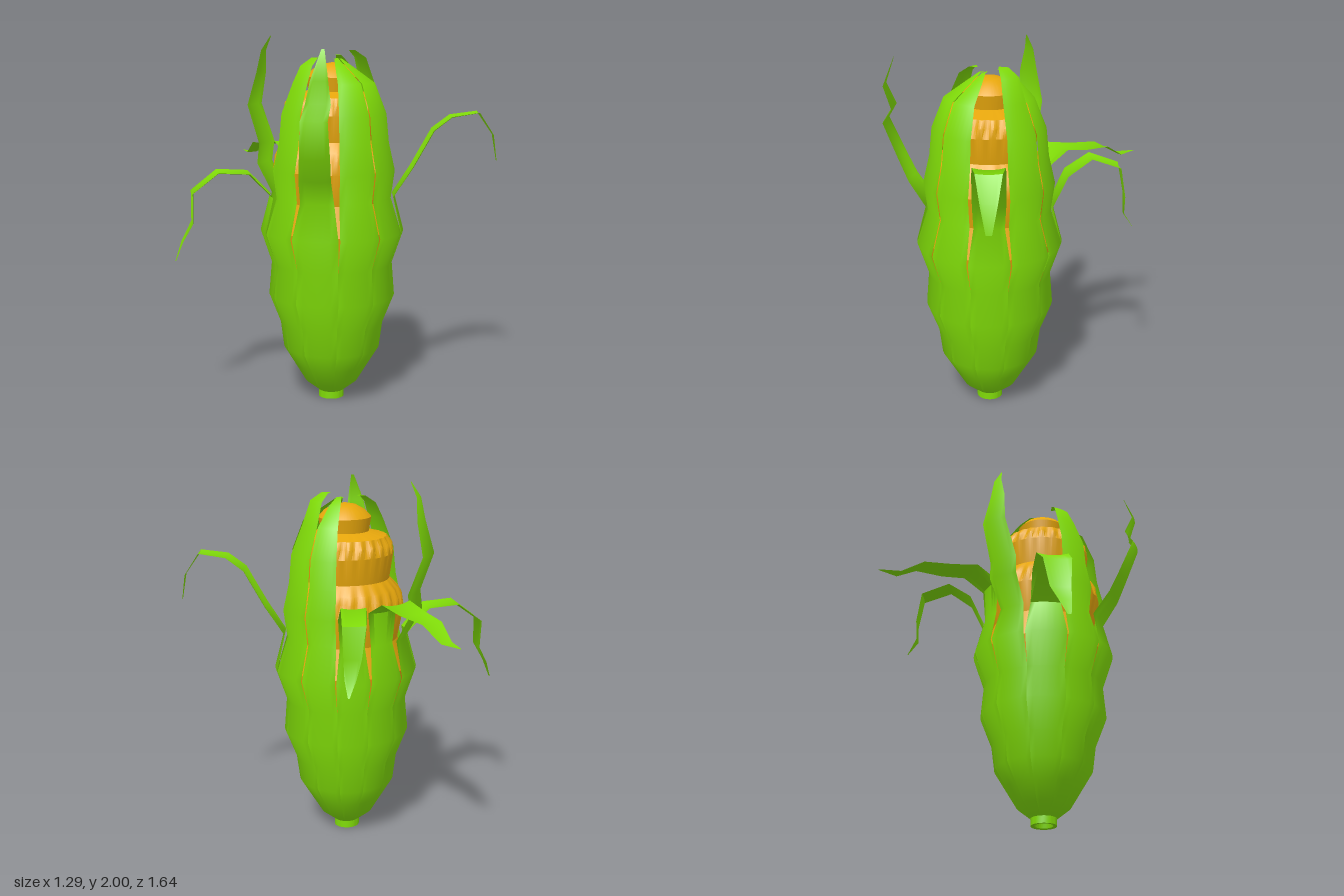
import * as THREE from 'three';
import { toCreasedNormals } from 'three/addons/utils/BufferGeometryUtils.js';

const CX = 0.06, CZ = 0.13; // axis of the cob
const rad = THREE.MathUtils.degToRad;

// Builds a surface from rows of points
function gridGeometry(rows, crease) {
  const pos = [], index = [], n = rows[0].length;
  rows.forEach(row => row.forEach(p => pos.push(p.x, p.y, p.z)));
  for (let i = 0; i < rows.length - 1; i++) {
    for (let j = 0; j < n - 1; j++) {
      const a = i * n + j, b = a + 1, c = a + n, d = c + 1;
      index.push(a, b, d, a, d, c);
    }
  }
  const g = new THREE.BufferGeometry();
  g.setAttribute('position', new THREE.Float32BufferAttribute(pos, 3));
  g.setIndex(index);
  return toCreasedNormals(g, crease);
}

// Ring rows of [radius, height, kernel ripple] around the axis
function ringRows(profile, segs, kernels = 0) {
  return profile.map(([r, y, ripple = 0]) => Array.from({ length: segs + 1 }, (_, j) => {
    const a = (j % segs) / segs * Math.PI * 2;
    const k = r + ripple * Math.cos(a * kernels);
    return new THREE.Vector3(Math.sin(a) * k, y, Math.cos(a) * k);
  }));
}

// Shared husk body below the splits: [radius, height]
const BODY = [[0.07, 0.04], [0.145, 0.1], [0.205, 0.2], [0.265, 0.3], [0.283, 0.44], [0.345, 0.6], [0.33, 0.78]];

// Rows that follow the axis: [radius, height, share of the strip's angle]
function arcRows(from, to, profile) {
  const mid = rad((from + to) / 2), half = rad((to - from) / 2);
  return profile.map(([r, y, share = 1]) => Array.from({ length: 7 }, (_, j) => {
    const a = mid + (j / 3 - 1) * half * share;
    return new THREE.Vector3(Math.sin(a) * r, y, Math.cos(a) * r);
  }));
}

// Strip that peels off: path of [radius, height, halfWidth], swinging sideways by lean degrees
function leafGeometry(from, to, lean, path) {
  const hug = [[0.39, 0.96, 0.96], [0.34, 1.15, 0.8]];
  const rows = arcRows(from, to, [...BODY, ...hug]);
  const spine = [hug[1], ...path];
  path.forEach(([r, y, hw], i) => {
    const prev = spine[i], next = spine[Math.min(i + 2, path.length)];
    const t = new THREE.Vector2(next[0] - prev[0], next[1] - prev[1]).normalize();
    const a = rad((from + to) / 2 + lean * (i + 1) / path.length);
    rows.push(Array.from({ length: 7 }, (_, j) => {
      const side = hw * (j / 3 - 1), sag = side * side / 0.6;
      const out = r - sag * t.y;
      return new THREE.Vector3(
        Math.sin(a) * out + Math.cos(a) * side, y + sag * t.x,
        Math.cos(a) * out - Math.sin(a) * side);
    }));
  });
  return gridGeometry(rows, 1);
}

// Strip that closes over the cob, ending in a point
function goreGeometry(from, to, tipRadius, tipHeight) {
  return gridGeometry(arcRows(from, to, [...BODY,
    [0.39, 0.96, 0.97], [0.33, 1.15, 0.96], [0.35, 1.3, 0.96], [0.315, 1.45, 0.96], [0.3, 1.6, 0.96],
    [0.235, 1.76, 0.95], [tipRadius + 0.1, tipHeight - 0.04, 0.92],
    [tipRadius + 0.04, tipHeight, 0.75], [tipRadius, tipHeight, 0.1]]), 1);
}

export function createModel() {
  const green = new THREE.MeshStandardMaterial({ color: 0x7fda08, side: THREE.DoubleSide });
  green.name = 'husk green';
  const gold = new THREE.MeshStandardMaterial({ color: 0xe6a60c, side: THREE.DoubleSide });
  gold.name = 'kernel gold';

  const model = new THREE.Group();
  model.name = 'cornCob';
  const plant = new THREE.Group();
  plant.name = 'cornPlant';
  plant.position.set(CX, 0, CZ);
  model.add(plant);
  const add = (name, geometry, material) => {
    const mesh = new THREE.Mesh(geometry, material);
    mesh.name = name;
    plant.add(mesh);
  };

  // Cob with stepped tiers of kernels and a domed cap
  add('cob', gridGeometry(ringRows([
    [0.28, 0.7], [0.335, 0.97], [0.285, 1.13],
    [0.32, 1.3], [0.302, 1.37, 0.009], [0.285, 1.41, 0.004], [0.24, 1.46],
    [0.262, 1.6], [0.248, 1.65, 0.009], [0.225, 1.69, 0.003], [0.13, 1.715],
    [0.142, 1.79], [0.11, 1.825], [0.06, 1.853], [0.0005, 1.865],
  ], 144, 24), 0.5), gold);

  // Hollow stem
  add('stem', gridGeometry(ringRows([
    [0.0005, 0.03], [0.045, 0.03], [0.05, 0.002], [0.07, 0], [0.07, 0.04],
  ], 48), 0.6), green);

  // Gores: from and to angle, tip radius and height
  const gores = {
    frontRightGore: [-44, -10, 0.01, 1.885], frontLeftGore: [-10, 23, 0.01, 1.885],
    leftFrontGore: [57, 93, 0.09, 1.925], leftBackGore: [93, 122, 0.04, 1.9],
    rightGore: [246, 277, 0.09, 1.89],
  };
  for (const [name, spec] of Object.entries(gores)) add(name, goreGeometry(...spec), green);

  // Leaves that peel away
  const leaves = {
    frontLeftLeaf: [23, 57, 0, [[0.44, 1.3, 0.085], [0.55, 1.5, 0.085], [0.64, 1.57, 0.08],
      [0.78, 1.595, 0.065], [0.86, 1.48, 0.042], [0.885, 1.34, 0.015]]],
    backLeftLeaf: [122, 150, -5, [[0.42, 1.32, 0.075], [0.54, 1.41, 0.065], [0.69, 1.36, 0.06],
      [0.72, 1.2, 0.045], [0.72, 1.1, 0.03], [0.775, 1.02, 0.004]]],
    backWideLeaf: [150, 180, -1.5, [[0.35, 1.33, 0.09], [0.46, 1.39, 0.09], [0.6, 1.365, 0.08],
      [0.76, 1.355, 0.06], [0.88, 1.285, 0.035], [0.995, 1.285, 0.004]]],
    backUprightLeaf: [180, 211, -6, [[0.43, 1.3, 0.085], [0.42, 1.41, 0.085], [0.5, 1.62, 0.075],
      [0.455, 1.8, 0.05], [0.44, 1.92, 0.025], [0.395, 2, 0.003]]],
    backRightLeaf: [211, 246, 6, [[0.46, 1.27, 0.085], [0.62, 1.28, 0.085], [0.755, 1.18, 0.075],
      [0.76, 1.02, 0.055], [0.82, 0.92, 0.035], [0.86, 0.82, 0.01]]],
    frontRightLeaf: [277, 316, 8, [[0.43, 1.28, 0.085], [0.48, 1.4, 0.08], [0.56, 1.6, 0.07],
      [0.51, 1.68, 0.065], [0.55, 1.8, 0.045], [0.49, 1.95, 0.008]]],
  };
  for (const [name, spec] of Object.entries(leaves)) add(name, leafGeometry(...spec), green);

  return model;
}
